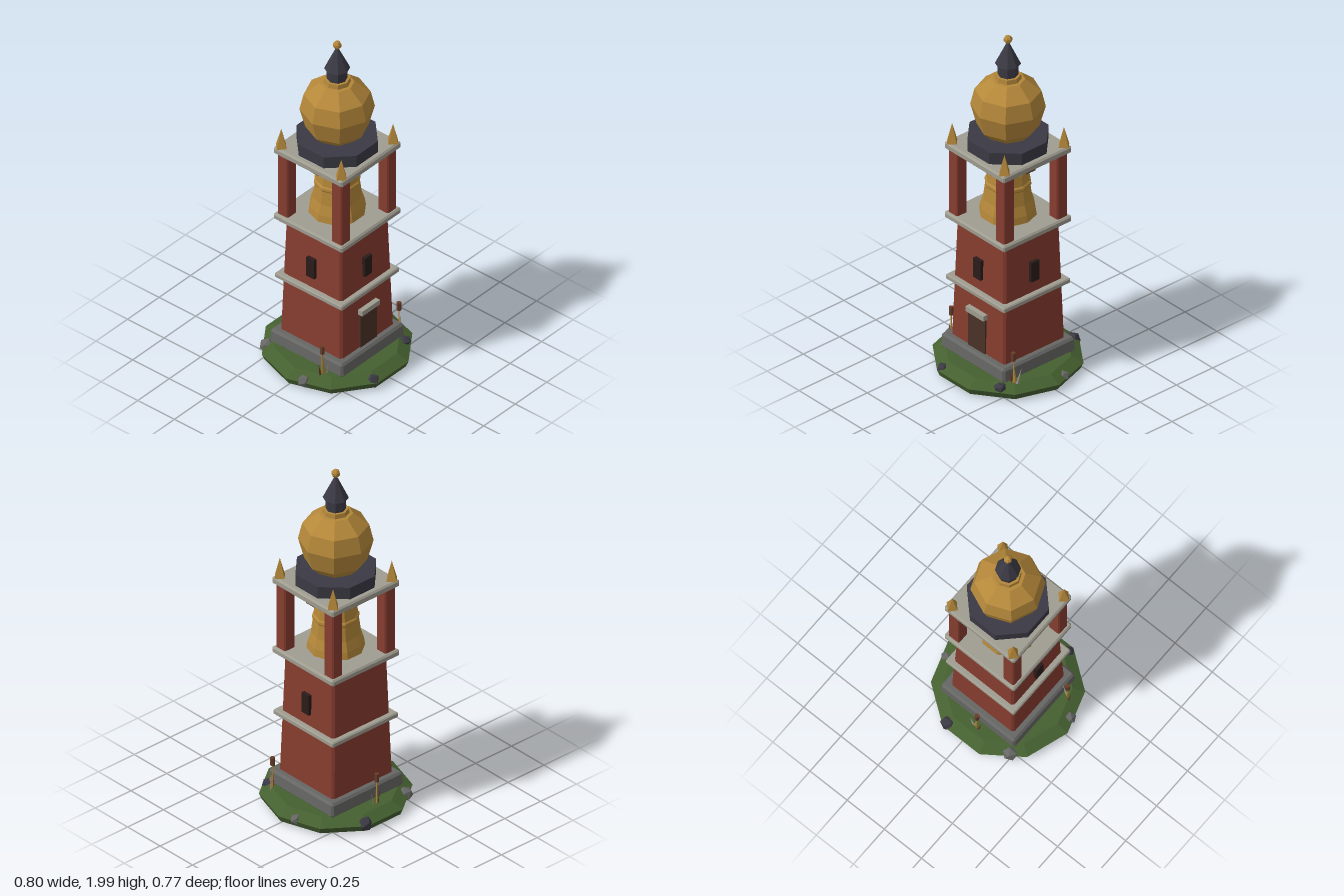
import * as THREE from 'three';
import { ConvexGeometry } from 'three/addons/geometries/ConvexGeometry.js';

const mat = (name, color) => {
  const m = new THREE.MeshStandardMaterial({ color, flatShading: true });
  m.name = name;
  return m;
};
const M = {
  grass: mat('grass green', 0x456030),
  brick: mat('brick red', 0x873d2f),
  pale: mat('pale stone', 0x9f9c90),
  stone: mat('grey stone', 0x666664),
  slate: mat('dark slate', 0x3b3a44),
  gold: mat('gold', 0xb5883a),
  door: mat('door brown', 0x4a3226),
  dark: mat('window dark', 0x2a1c1a),
  wood: mat('wood brown', 0x6a3d29),
};

export function createModel() {
  const root = new THREE.Group();
  root.name = 'bellTower';

  const add = (name, geo, m, x = 0, y = 0, z = 0, parent = root) => {
    const mesh = new THREE.Mesh(geo, m);
    mesh.name = name;
    mesh.position.set(x, y, z);
    parent.add(mesh);
    return mesh;
  };

  // Square block from y0 to y1 with chamfered edges; half-widths at bottom and top
  const block = (halfBottom, halfTop, y0, y1, c) => {
    const pts = [];
    for (const sx of [-1, 1]) for (const sz of [-1, 1]) for (const top of [0, 1]) {
      const h = top ? halfTop : halfBottom;
      const y = top ? y1 : y0;
      const yIn = top ? y1 - c : y0 + c;
      pts.push(
        new THREE.Vector3(sx * (h - c), y, sz * (h - c)),
        new THREE.Vector3(sx * h, yIn, sz * (h - c)),
        new THREE.Vector3(sx * (h - c), yIn, sz * h));
    }
    return new ConvexGeometry(pts);
  };

  // Faceted turned shape, profile listed from bottom to top as [radius, y]
  const turned = (profile, sides, start = 0) => new THREE.LatheGeometry(
    profile.map(([r, y]) => new THREE.Vector2(r, y)), sides, start);

  // Grassy mound
  add('ground', turned([[0, 0.015], [0.385, 0.015], [0.4, 0.05], [0.335, 0.085], [0, 0.09]], 10, Math.PI / 2), M.grass);

  // Tower shaft
  add('plinth', block(0.25, 0.247, 0.085, 0.168, 0.012), M.stone);
  add('shaft', block(0.21, 0.19, 0.155, 0.875, 0.012), M.brick);
  add('middleBand', block(0.23, 0.23, 0.497, 0.528, 0.006), M.pale);
  add('lowerCornice', block(0.236, 0.236, 0.873, 0.912, 0.009), M.pale);

  // Door and windows (front and both sides)
  add('door', new THREE.BoxGeometry(0.13, 0.215, 0.03), M.door, 0, 0.275, 0.202);
  add('doorLintel', new THREE.BoxGeometry(0.14, 0.03, 0.04), M.pale, 0, 0.392, 0.212);
  for (const a of [-1, 0, 1]) {
    const angle = a * Math.PI / 2;
    const w = add('window', new THREE.BoxGeometry(0.056, 0.118, 0.03), M.dark,
      Math.sin(angle) * 0.2, 0.658, Math.cos(angle) * 0.2);
    w.rotation.y = angle;
  }

  // Belfry pillars and corner spires
  for (const sx of [-1, 1]) for (const sz of [-1, 1]) {
    add('pillar', block(0.036, 0.036, 0.905, 1.3, 0.007), M.brick, sx * 0.184, 0, sz * 0.184);
    add('cornerSpire', new THREE.ConeGeometry(0.037, 0.115, 4), M.gold, sx * 0.205, 1.394, sz * 0.205);
  }
  add('upperCornice', block(0.236, 0.236, 1.295, 1.338, 0.009), M.pale);

  // Bell with its beam, hanger and clapper
  add('bell', turned([[0, 0.93], [0.14, 0.922], [0.153, 0.925], [0.147, 0.965], [0.13, 1.02], [0.12, 1.1],
    [0.124, 1.108], [0.123, 1.122], [0.116, 1.13], [0.109, 1.19], [0.072, 1.238], [0, 1.24]], 10, Math.PI / 2), M.gold);
  add('bellBeam', new THREE.BoxGeometry(0.36, 0.05, 0.062), M.wood, 0, 1.272, 0);
  add('bellHanger', new THREE.CylinderGeometry(0.03, 0.03, 0.03, 6), M.wood, 0, 1.243, 0);
  add('clapper', new THREE.SphereGeometry(0.035, 8, 6), M.slate, 0, 0.943, 0);

  // Dome, lantern and finial
  add('domeDrum', new THREE.CylinderGeometry(0.222, 0.222, 0.075, 8), M.slate, 0, 1.37, 0).rotation.y = Math.PI / 8;
  add('dome', turned([[0, 1.4], [0.105, 1.4], [0.165, 1.46], [0.196, 1.575], [0.174, 1.668],
    [0.09, 1.738], [0, 1.745]], 8), M.gold);
  add('domeCollar', new THREE.CylinderGeometry(0.068, 0.072, 0.03, 8), M.gold, 0, 1.75, 0);
  add('lantern', new THREE.CylinderGeometry(0.054, 0.054, 0.08, 8), M.slate, 0, 1.8, 0);
  add('lanternRoof', new THREE.ConeGeometry(0.068, 0.14, 8), M.slate, 0, 1.9, 0);
  add('finialBall', new THREE.SphereGeometry(0.024, 6, 5), M.gold, 0, 1.976, 0);

  // Rocks around the mound: x, z, radius, material
  [[0.112, -0.348, 0.043, M.slate], [-0.24, -0.27, 0.043, M.stone], [0.348, -0.077, 0.034, M.stone],
    [-0.352, 0.075, 0.036, M.stone], [0.234, 0.26, 0.036, M.slate], [-0.115, 0.342, 0.04, M.slate],
  ].forEach(([x, z, r, m], i) => {
    const onRim = Math.hypot(x, z) > 0.355;
    const rock = add('rock', new THREE.IcosahedronGeometry(r, 0).rotateY(i * 1.3).rotateX(i * 0.7),
      m, x, onRim ? 0.046 : 0.064, z);
    rock.scale.y = onRim ? 0.95 : 0.75;
  });

  // Reed clumps: stalk, seed head and leaning blades
  [[-0.028, -0.285, 0.4], [-0.283, 0.142, 0], [0.264, 0.195, 0.9]].forEach(([x, z, turn]) => {
    const clump = new THREE.Group();
    clump.name = 'reeds';
    clump.position.set(x, 0.08, z);
    clump.rotation.y = turn;
    root.add(clump);
    add('reedStalk', new THREE.CylinderGeometry(0.003, 0.004, 0.15, 5), M.gold, 0, 0.075, 0, clump);
    add('reedHead', new THREE.CylinderGeometry(0.013, 0.013, 0.048, 6), M.wood, 0, 0.16, 0, clump);
    [[0.02, 0.1, -0.22, M.pale], [0.01, 0.13, 0.08, M.gold], [-0.008, 0.08, 0.2, M.wood]].forEach(([dx, h, lean, m]) => {
      const blade = add('reedBlade', new THREE.ConeGeometry(0.009, h, 4).translate(0, h / 2, 0), m, dx, 0, dx * 0.6, clump);
      blade.scale.z = 0.4;
      blade.rotation.z = lean;
    });
  });

  return root;
}
